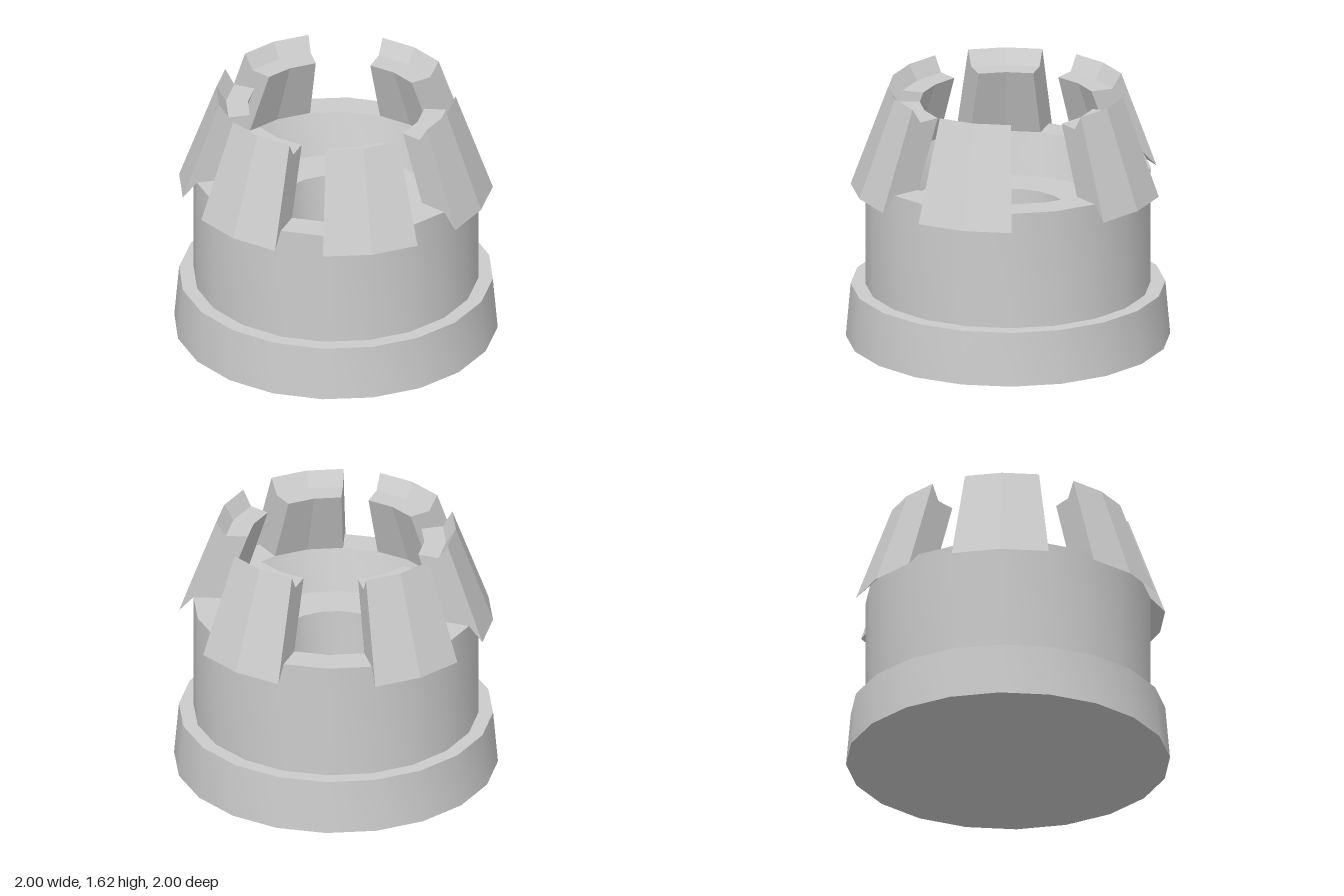
import * as THREE from 'three';
import { mergeGeometries, toCreasedNormals } from 'three/addons/utils/BufferGeometryUtils.js';

const SIDES = 20;
const STEP = (Math.PI * 2) / SIDES;
const toPoints = (list) => list.map(([r, y]) => new THREE.Vector2(r, y));

// Round part: smooth around the axis, sharp where the profile turns
function turned(name, profile, material) {
  const geometry = toCreasedNormals(new THREE.LatheGeometry(toPoints(profile), SIDES), 0.5);
  const mesh = new THREE.Mesh(geometry, material);
  mesh.name = name;
  return mesh;
}

// Radial end face of a battlement, at angle phi from the front
function endFace(points, phi, flip) {
  const face = new THREE.ShapeGeometry(new THREE.Shape(points));
  if (flip) face.setIndex(Array.from(face.index.array).reverse());
  return face.rotateY(phi - Math.PI / 2);
}

// Battlement: a two-segment sweep of its section, closed at both ends
function battlementGeometry(startStep) {
  const points = toPoints([
    [0.88, 1.085], [0.97, 0.99], [0.74, 1.615],
    [0.68, 1.52], [0.545, 1.52], [0.70, 1.085],
  ]);
  const start = startStep * STEP;
  const geometry = mergeGeometries([
    new THREE.LatheGeometry(points, 2, start, 2 * STEP),
    endFace(points, start, false),
    endFace(points, start + 2 * STEP, true),
  ]).toNonIndexed();
  geometry.computeVertexNormals();
  return geometry;
}

export function createModel() {
  const model = new THREE.Group();
  model.name = 'tower';
  const smooth = new THREE.MeshStandardMaterial({ color: 0xcccccc });
  const faceted = new THREE.MeshStandardMaterial({ color: 0xcccccc, flatShading: true });

  // Flared foot
  model.add(turned('base', [[0, 0], [1, 0], [0.97, 0.34], [0.88, 0.34]], smooth));

  // Wall, rim, sunken floor and central pit
  model.add(turned('body', [
    [0.88, 0.34], [0.88, 1.085], [0.70, 1.085], [0.62, 0.825],
    [0.36, 0.825], [0.34, 0.4], [0, 0.4],
  ], smooth));

  // Six battlements, unevenly spaced on the twenty-sided rim
  const battlements = new THREE.Group();
  battlements.name = 'battlements';
  [0, 4, 8, 11, 14, 17].forEach((startStep, i) => {
    const mesh = new THREE.Mesh(battlementGeometry(startStep), faceted);
    mesh.name = `battlement${i + 1}`;
    battlements.add(mesh);
  });
  model.add(battlements);

  return model;
}
